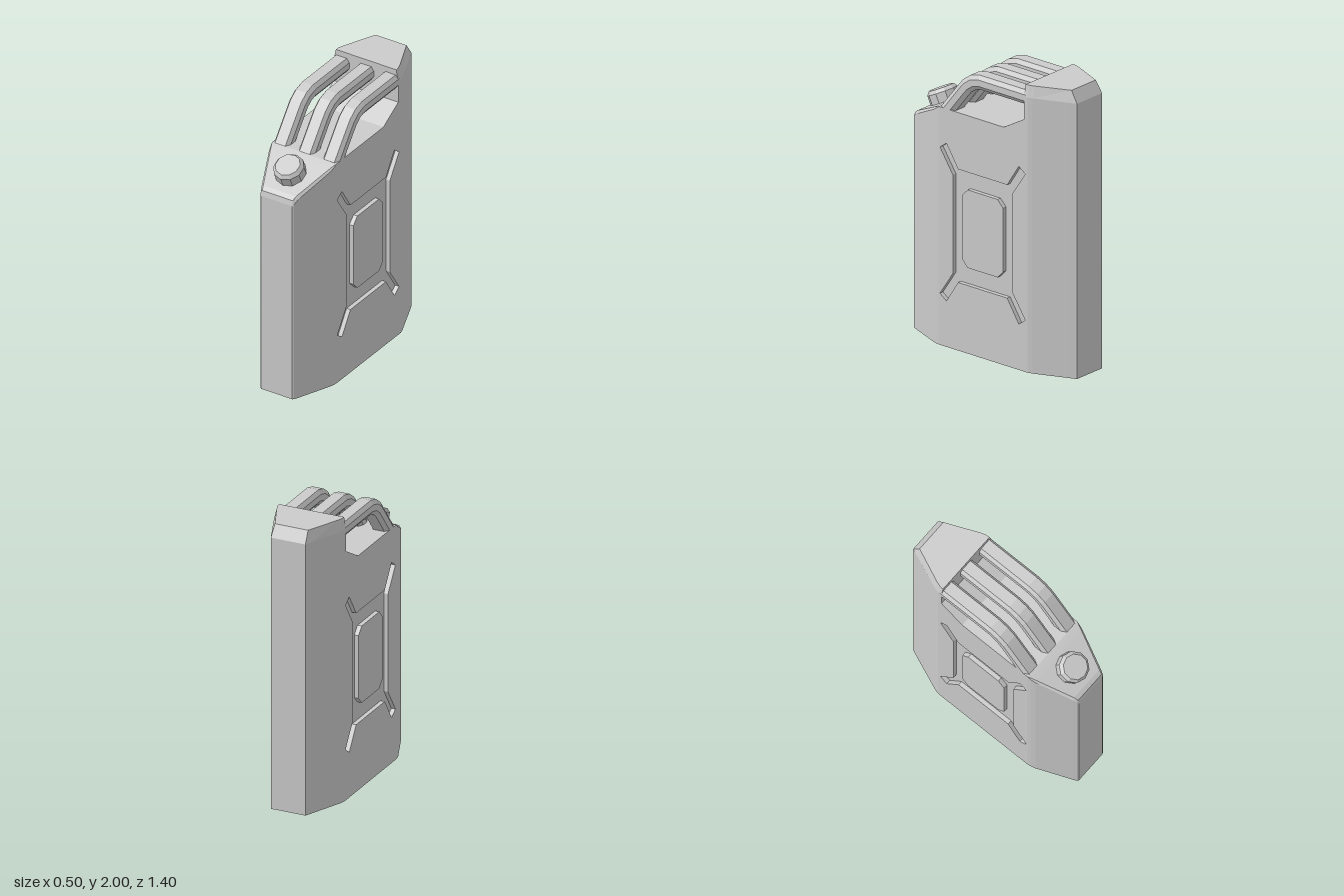
import * as THREE from 'three';

const material = new THREE.MeshStandardMaterial({ color: 0xcccccc, flatShading: true });

function mesh(name, geometry) {
  const m = new THREE.Mesh(geometry, material);
  m.name = name;
  return m;
}

// Skin a list of equal-length rings; skip(section, side) leaves faces open
function loft(rings, { capStart = false, capEnd = false, skip = () => false } = {}) {
  const pos = [];
  const tri = (a, b, c) => {
    const area = b.clone().sub(a).cross(c.clone().sub(a)).length();
    if (area > 1e-8) for (const p of [a, b, c]) pos.push(p.x, p.y, p.z);
  };
  const n = rings[0].length;
  for (let s = 0; s < rings.length - 1; s++) {
    const a = rings[s], b = rings[s + 1];
    for (let i = 0; i < n; i++) {
      if (skip(s, i)) continue;
      const j = (i + 1) % n;
      tri(a[i], b[i], b[j]);
      tri(a[i], b[j], a[j]);
    }
  }
  const first = rings[0], last = rings[rings.length - 1];
  for (let i = 1; i < n - 1; i++) {
    if (capStart) tri(first[0], first[i], first[i + 1]);
    if (capEnd) tri(last[0], last[i + 1], last[i]);
  }
  const g = new THREE.BufferGeometry();
  g.setAttribute('position', new THREE.Float32BufferAttribute(pos, 3));
  g.computeVertexNormals();
  return g;
}

const ringAt = (points, z) => points.map(([x, y]) => new THREE.Vector3(x, y, z));
const toShape = (points) => new THREE.Shape(points.map(([x, y]) => new THREE.Vector2(x, y)));

// Can body, front to back: z, half width, top height, edge bevel across, edge bevel down
const HALF = 0.25;
const stations = [
  [0.70, 0.12, 1.46, 0, 0],
  [0.692, 0.13, 1.498, 0.012, 0.025],
  [0.665, 0.142, 1.52, 0.015, 0.02],
  [0.43, 0.238, 1.637, 0.012, 0.015],
  [0.40, 0.246, 1.65, 0.008, 0.008],
  [0.375, HALF, 1.66, 0, 0],
  [-0.18, HALF, 1.66, 0, 0],
  [-0.355, HALF, 1.76, 0, 0],
  [-0.355, HALF, 2, 0.016, 0.08],
  [-0.385, HALF, 2, 0.018, 0.08],
  [-0.42, 0.24, 2, 0.02, 0.08],
  [-0.65, 0.146, 2, 0.026, 0.08],
  [-0.70, 0.125, 1.92, 0, 0],
];

function makeBody() {
  const rings = stations.map(([z, w, top, bx, by]) => ringAt([
    [w, 0], [w, top - by], [w - bx, top],
    [bx - w, top], [-w, top - by], [-w, 0],
  ], z));
  // The flat flanks are left open for the pressed side panels
  const skip = (s, i) => (i === 0 || i === 4) && stations[s][1] === HALF && stations[s + 1][1] === HALF;
  return mesh('body', loft(rings, { capStart: true, capEnd: true, skip }));
}

// Repeat first-quadrant points around all four quadrants, counterclockwise
function fourFold(quarter, cy) {
  const out = [];
  for (const [sx, sy] of [[1, 1], [-1, 1], [-1, -1], [1, -1]]) {
    const q = quarter.map(([x, y]) => [x * sx, cy + y * sy]);
    out.push(...(sx * sy > 0 ? q : q.reverse()));
  }
  return out;
}

// Flank with an X-shaped recess around a raised centre block
function makeSidePanel() {
  const depth = 0.03, cy = 0.87;
  const recess = fourFold([[0.255, 0.345], [0.365, 0.51], [0.31, 0.55], [0.21, 0.395]], cy);
  const block = fourFold([[0.176, 0.222], [0.128, 0.272]], cy);
  const flank = toShape([
    [-0.375, 0], [0.385, 0], [0.385, 1.92], [0.355, 1.92],
    [0.355, 1.76], [0.18, 1.66], [-0.375, 1.66],
  ]);
  flank.holes.push(toShape(recess));

  const panel = new THREE.Group();
  panel.name = 'sidePanel';
  const floor = mesh('recessFloor', new THREE.ShapeGeometry(toShape(recess)));
  floor.position.z = -depth;
  const inward = [...recess].reverse();
  panel.add(
    mesh('flank', new THREE.ShapeGeometry(flank)),
    floor,
    mesh('recessWalls', loft([ringAt(inward, 0), ringAt(inward, -depth)])),
    mesh('centreBlock', loft([ringAt(block, 0), ringAt(block, -depth)], { capStart: true })),
  );
  panel.rotation.y = Math.PI / 2;
  panel.position.x = HALF;
  return panel;
}

// Bent handle bar with a chamfered section and mitred joints; path is z, y
function makeHandleBar(x) {
  const path = [[0.355, 1.60], [0.185, 1.815], [0.15, 1.857], [0.10, 1.893], [0.04, 1.91], [-0.37, 1.91]]
    .map(([z, y]) => new THREE.Vector3(0, y, z));
  const section = fourFold([[0.06, 0.022], [0.04, 0.05]], 0);
  const side = new THREE.Vector3(1, 0, 0);
  const normals = path.slice(1).map((p, i) => side.clone().cross(p.clone().sub(path[i]).normalize()));
  const rings = path.map((p, i) => {
    const before = normals[Math.max(i - 1, 0)];
    const after = normals[Math.min(i, normals.length - 1)];
    const mitre = before.clone().add(after).normalize();
    mitre.divideScalar(mitre.dot(before));
    return section.map(([u, v]) => p.clone().addScaledVector(side, u).addScaledVector(mitre, v));
  });
  const bar = mesh('handleBar', loft(rings, { capStart: true, capEnd: true }));
  bar.position.x = x;
  return bar;
}

// Screw cap, square to the sloping shoulder
function makeCap() {
  const profile = [[0.105, 0], [0.105, 0.08], [0.085, 0.105], [0, 0.105]]
    .map(([r, y]) => new THREE.Vector2(r, y));
  const cap = mesh('cap', new THREE.LatheGeometry(profile, 10));
  cap.position.set(0, 1.575, 0.525);
  cap.rotation.x = 0.45;
  return cap;
}

export function createModel() {
  const model = new THREE.Group();
  model.name = 'fuelCan';
  model.add(makeBody(), makeCap());

  for (const s of [1, -1]) {
    const half = new THREE.Group();
    half.name = s > 0 ? 'leftSide' : 'rightSide';
    half.add(makeSidePanel());
    half.scale.x = s;
    model.add(half);
  }

  for (const x of [-0.19, 0, 0.19]) model.add(makeHandleBar(x));
  return model;
}
